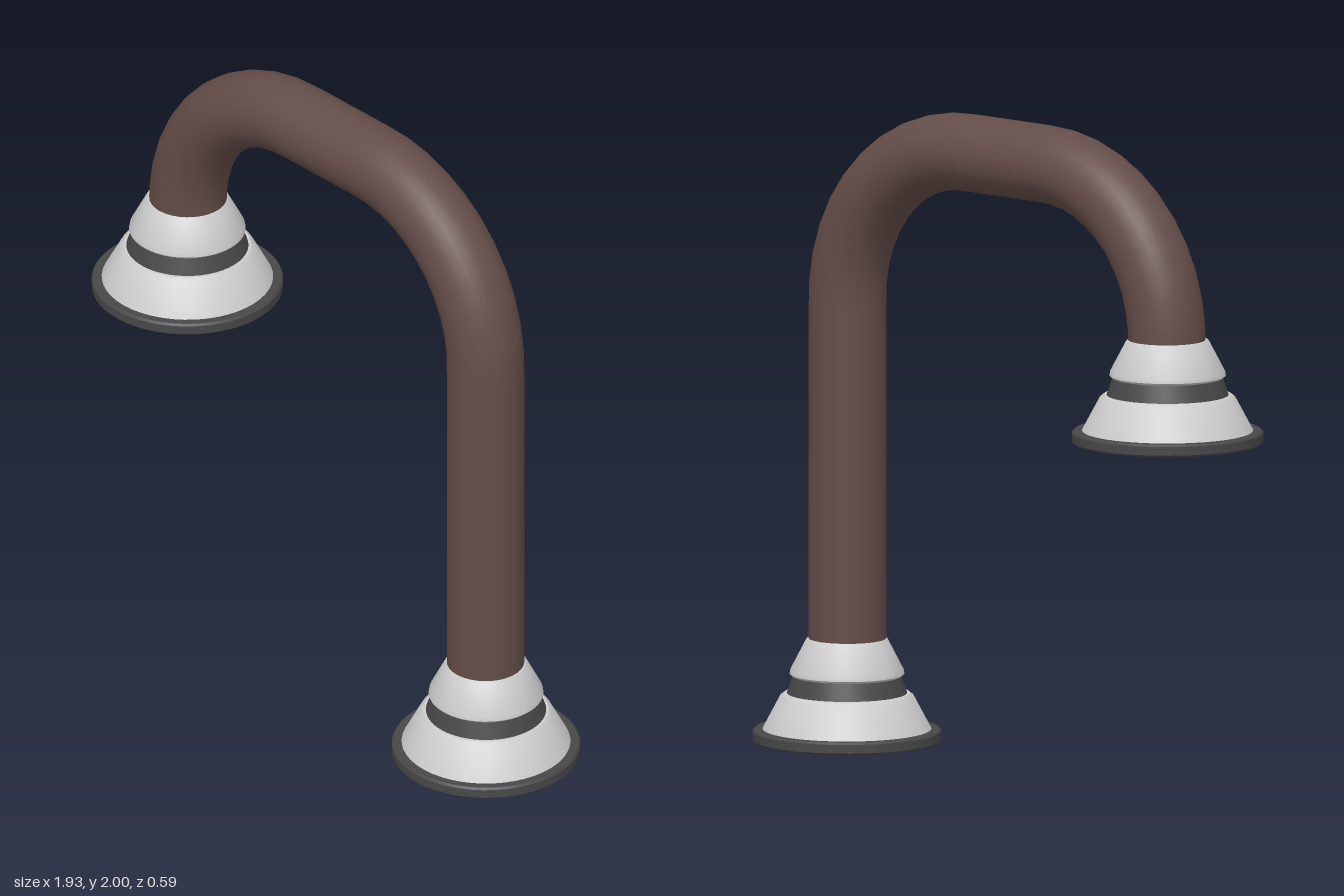
import * as THREE from 'three';
import { toCreasedNormals } from 'three/addons/utils/BufferGeometryUtils.js';

const grey = new THREE.MeshStandardMaterial({ color: 0xcccccc });
const rubber = new THREE.MeshStandardMaterial({ color: 0x484848 });
const sole = new THREE.MeshStandardMaterial({ color: 0x242424 });
const brown = new THREE.MeshStandardMaterial({ color: 0x644d48 });

// Turned part from [radius, height] pairs, listed bottom to top
function turned(name, profile, material) {
  const points = profile.map(([r, y]) => new THREE.Vector2(r, y));
  const mesh = new THREE.Mesh(toCreasedNormals(new THREE.LatheGeometry(points, 48), 0.5), material);
  mesh.name = name;
  return mesh;
}

// Stepped end fitting, standing on its own y = 0
function createFoot(name) {
  const foot = new THREE.Group();
  foot.name = name;
  foot.add(
    turned('sole', [[0, 0.008], [0.262, 0.008]], sole),
    turned('pad', [[0.262, 0.008], [0.268, 0], [0.283, 0], [0.289, 0.006], [0.289, 0.033], [0.283, 0.039], [0, 0.039]], rubber),
    turned('lowerCollar', [[0.26, 0.037], [0.205, 0.141], [0.193, 0.15], [0, 0.15]], grey),
    turned('band', [[0.185, 0.148], [0.165, 0.207]], rubber),
    turned('upperCollar', [[0, 0.203], [0.168, 0.203], [0.176, 0.21], [0.174, 0.222], [0.126, 0.315], [0.121, 0.32], [0, 0.32]], grey)
  );
  return foot;
}

// Lifts a flat path into space so it can guide a tube
class PathCurve extends THREE.Curve {
  constructor(path) {
    super();
    this.path = path;
  }
  getPoint(t, target = new THREE.Vector3()) {
    const p = this.path.getPoint(t);
    return target.set(p.x, p.y, 0);
  }
}

export function createModel() {
  const model = new THREE.Group();
  model.name = 'bentPipe';

  // Pipe: tall leg, quarter bend, flat top, quarter bend, short leg
  const path = new THREE.Path();
  path.moveTo(0.67, 0.28);
  path.lineTo(0.67, 1.38);
  path.absarc(0.17, 1.38, 0.5, 0, Math.PI / 2, false);
  path.lineTo(-0.17, 1.88);
  path.absarc(-0.17, 1.38, 0.5, Math.PI / 2, Math.PI, false);
  path.lineTo(-0.67, 1.34);
  const pipe = new THREE.Mesh(new THREE.TubeGeometry(new PathCurve(path), 40, 0.119, 32), brown);
  pipe.name = 'pipe';
  model.add(pipe);

  // End fittings
  const leftFoot = createFoot('leftFoot');
  leftFoot.position.set(0.672, 0, 0);
  const rightFoot = createFoot('rightFoot');
  rightFoot.position.set(-0.672, 1.07, 0);
  rightFoot.scale.set(1.015, 1, 1.015);
  model.add(leftFoot, rightFoot);

  return model;
}
